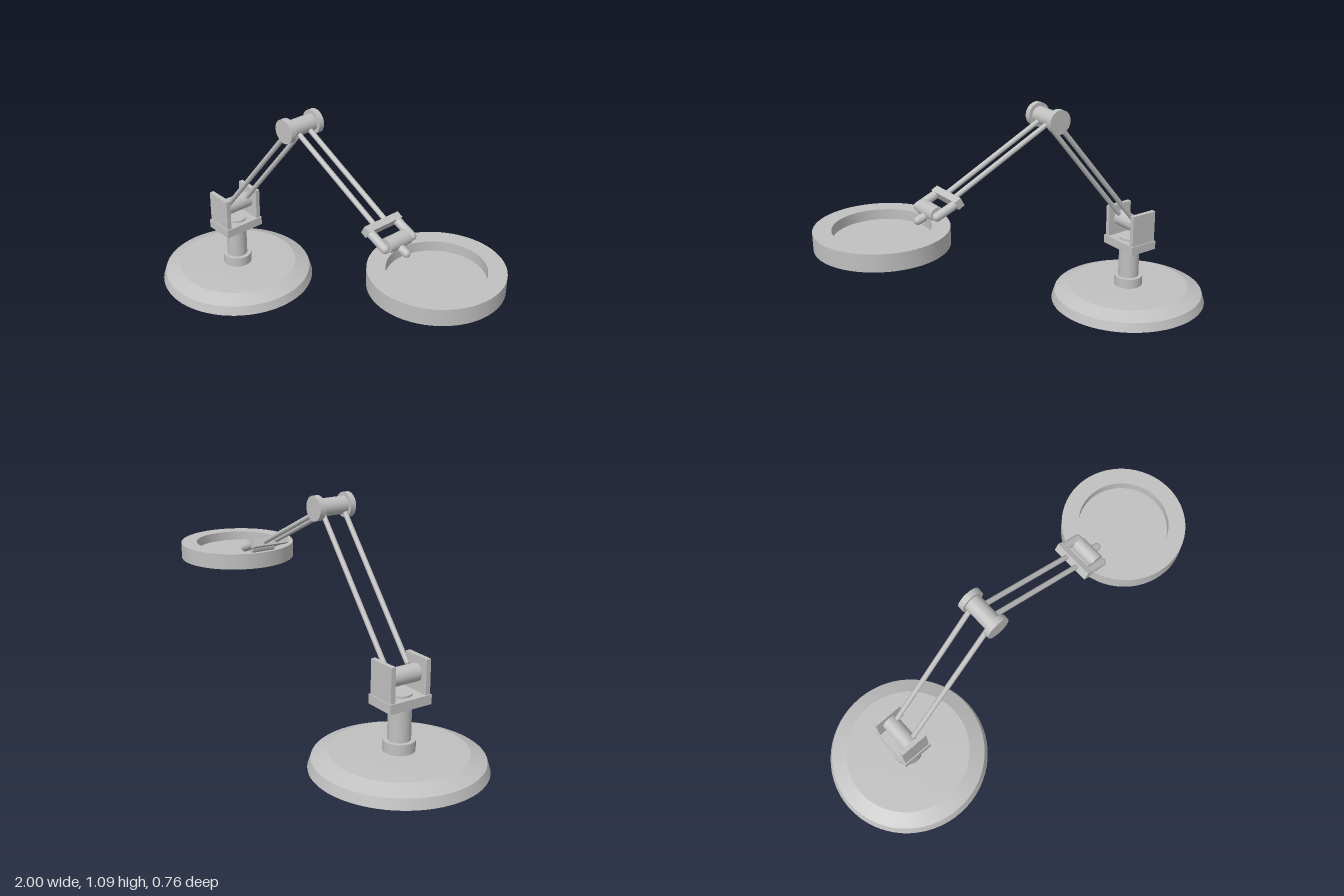
import * as THREE from 'three';
import { toCreasedNormals } from 'three/addons/utils/BufferGeometryUtils.js';

const grey = new THREE.MeshStandardMaterial({ color: 0xc0c0c0 });
grey.name = 'satin grey';

export function createModel() {
  const model = new THREE.Group();
  model.name = 'deskLamp';

  const add = (name, geometry, x = 0, y = 0, z = 0) => {
    const mesh = new THREE.Mesh(geometry, grey);
    mesh.name = name;
    mesh.position.set(x, y, z);
    model.add(mesh);
    return mesh;
  };
  const lathe = (name, profile, x) => add(name, toCreasedNormals(
    new THREE.LatheGeometry(profile.map(([r, y]) => new THREE.Vector2(r, y)), 64), 0.3), x);
  const upright = (name, r, y0, y1, x, z = 0) =>
    add(name, new THREE.CylinderGeometry(r, r, y1 - y0, 32), x, (y0 + y1) / 2, z);
  // Cylinder lying along z
  const axle = (name, r, length, x, y, z = 0) =>
    add(name, new THREE.CylinderGeometry(r, r, length, 32).rotateX(Math.PI / 2), x, y, z);
  // Round-ended rod between two points in the x-y plane
  const rod = (name, r, [x0, y0], [x1, y1], z) => {
    const dx = x1 - x0, dy = y1 - y0;
    const mesh = add(name, new THREE.CapsuleGeometry(r, Math.hypot(dx, dy), 6, 16),
      (x0 + x1) / 2, (y0 + y1) / 2, z);
    mesh.rotation.z = Math.atan2(dy, dx) - Math.PI / 2;
  };

  const baseX = -0.62, elbow = [-0.115, 1.036], lampX = 0.72;

  // Weighted base, feet and post
  lathe('base', [[0, 0.005], [0.335, 0.005], [0.38, 0.022], [0.366, 0.066],
    [0.295, 0.097], [0.16, 0.101], [0, 0.102]], baseX);
  for (const sx of [-1, 1]) for (const sz of [-1, 1])
    upright('foot', 0.035, 0, 0.008, baseX + sx * 0.195, sz * 0.195);
  upright('collar', 0.07, 0.095, 0.15, baseX);
  upright('post', 0.05, 0.14, 0.355, baseX);

  // Swivel bracket
  add('bracketPlate', new THREE.BoxGeometry(0.148, 0.042, 0.21), baseX, 0.325);
  axle('shoulderAxle', 0.039, 0.158, baseX - 0.002, 0.428);

  // Elbow joint
  axle('elbowAxle', 0.039, 0.13, ...elbow);

  // Wrist yoke and hub
  const yoke = add('wristBar', new THREE.BoxGeometry(0.032, 0.04, 0.19), 0.406, 0.777);
  yoke.rotation.z = -0.48;
  axle('wristHub', 0.034, 0.12, 0.492, 0.736);
  rod('lampStem', 0.018, [0.495, 0.725], [0.552, 0.707], 0);

  // Paired parts either side of the arm
  for (const s of [-1, 1]) {
    add('bracketCheek', new THREE.BoxGeometry(0.136, 0.158, 0.022), baseX, 0.421, s * 0.089);
    rod('lowerArmRod', 0.0115, [baseX + 0.03, 0.464], elbow, s * 0.055);
    axle('elbowDisc', 0.055, 0.027, ...elbow, s * 0.0775);
    rod('upperArmRod', 0.0115, [-0.08, 1.016], [0.4, 0.779], s * 0.031);
    rod('wristProng', 0.0195, [0.412, 0.774], [0.505, 0.737], s * 0.0765);
  }

  // Lamp head: outer ring with an inner lip below, and the lens set inside it
  lathe('lampRing', [[0.17, 0.635], [0.2, 0.635], [0.2, 0.642], [0.278, 0.642], [0.278, 0.717],
    [0.202, 0.717], [0.202, 0.672], [0.17, 0.672], [0.17, 0.635]], lampX);
  upright('lens', 0.2, 0.656, 0.674, lampX);

  return model;
}
